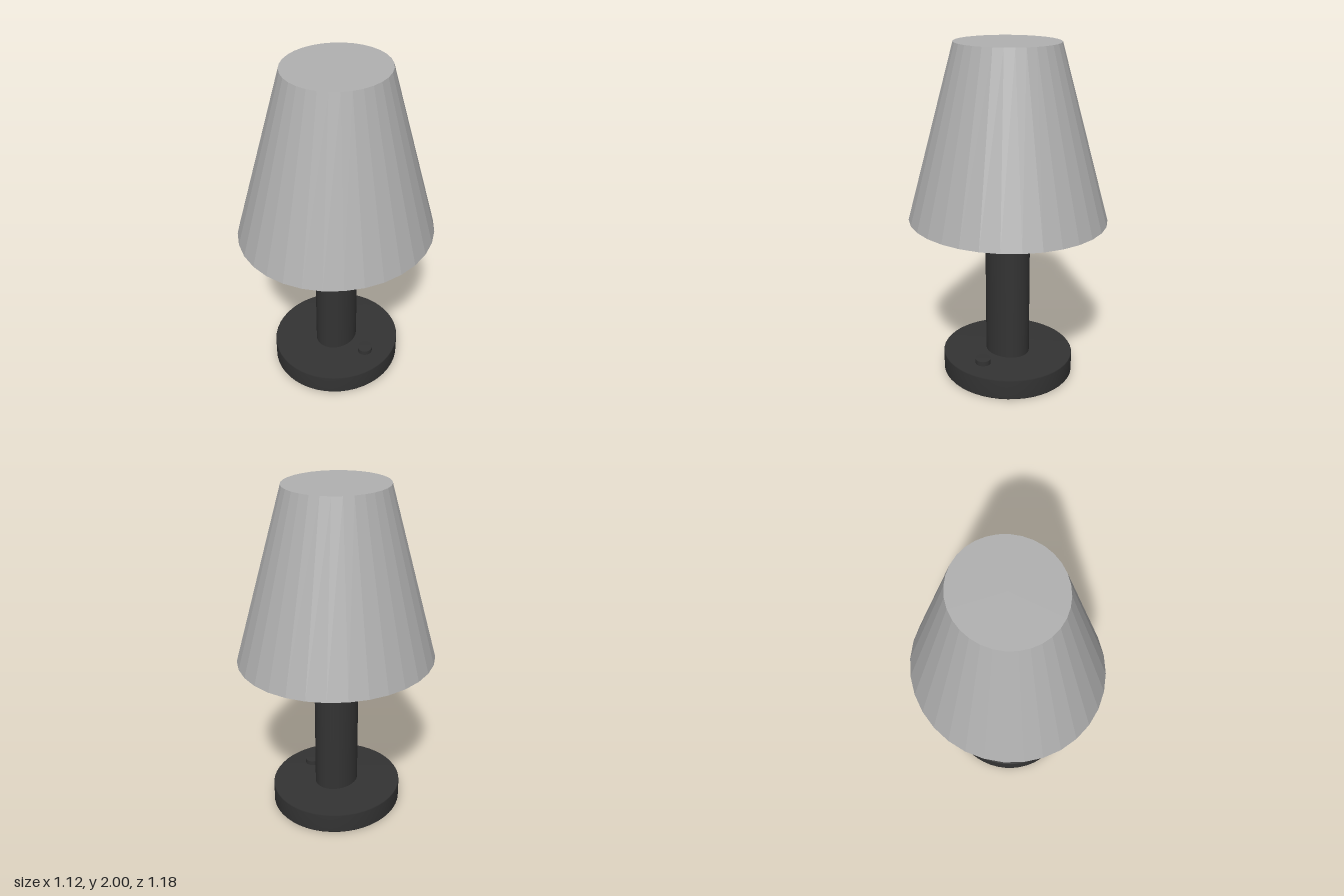
import * as THREE from 'three';

export function createModel() {
  const lamp = new THREE.Group();
  lamp.name = 'tableLamp';

  const shadeGrey = new THREE.MeshStandardMaterial({ color: 0xb0b0b0, flatShading: true });
  shadeGrey.name = 'shade grey';
  const charcoal = new THREE.MeshStandardMaterial({ color: 0x333333 });
  charcoal.name = 'charcoal';

  // Adds a round part with an oval footprint: unit radius scaled to rx, rz
  function addOval(name, geometry, material, rx, rz, x, y) {
    geometry.scale(rx, 1, rz);
    const mesh = new THREE.Mesh(geometry, material);
    mesh.name = name;
    mesh.position.set(x, y, 0);
    lamp.add(mesh);
  }

  // Disc with slightly softened rims, standing on y = 0
  const disc = (height, soft) => new THREE.LatheGeometry([
    [0, 0], [1 - soft * 2, 0], [1, soft], [1, height - soft * 0.6], [1 - soft, height], [0, height],
  ].map(([r, y]) => new THREE.Vector2(r, y)), 48);

  addOval('base', disc(0.125, 0.008), charcoal, 0.385, 0.4, 0, 0);
  addOval('switchButton', disc(0.035, 0.004), charcoal, 0.044, 0.046, 0.235, 0.12);

  // Stem runs from inside the base up into the shade
  addOval('stem', new THREE.CylinderGeometry(1, 1, 0.9, 32), charcoal, 0.118, 0.14, 0, 0.56);

  // Closed, faceted tapering shade
  addOval('shade', new THREE.CylinderGeometry(0.518, 1, 1.01, 32), shadeGrey, 0.562, 0.588, 0, 1.495);

  return lamp;
}
